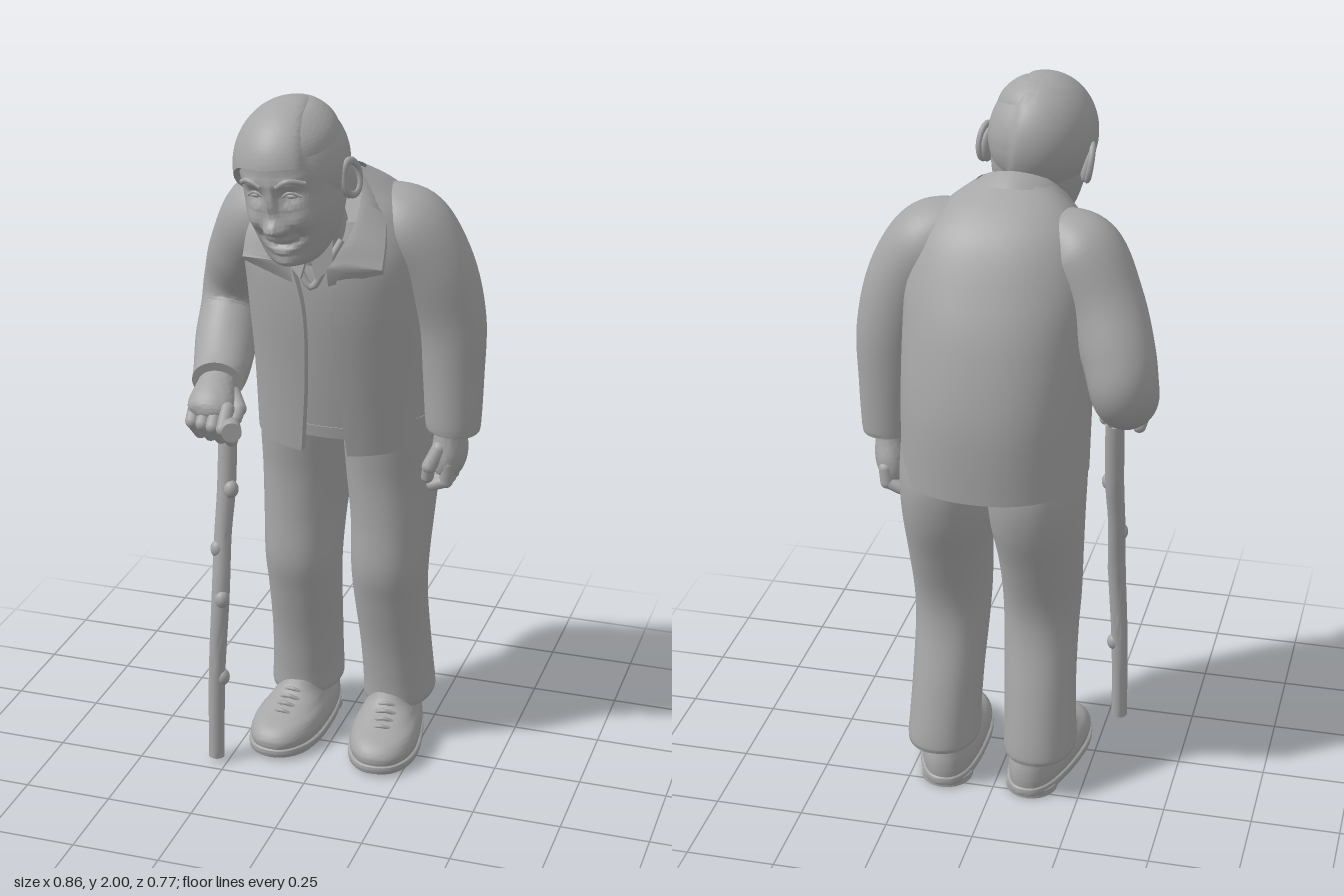
import * as THREE from 'three';
import { toCreasedNormals } from 'three/addons/utils/BufferGeometryUtils.js';

const clay = new THREE.MeshStandardMaterial({ color: 0xa6a6a6, side: THREE.DoubleSide });
clay.name = 'clay grey';
const V = (x, y, z) => new THREE.Vector3(x, y, z);

function add(parent, name, geo) {
  const m = new THREE.Mesh(geo, clay);
  m.name = name;
  parent.add(m);
  return m;
}

// Skin over a stack of rings of points
function skin(rings, { closed = true, caps = true, crease = 0.9 } = {}) {
  const n = rings[0].length, pos = [], idx = [];
  rings.forEach(r => r.forEach(p => pos.push(p.x, p.y, p.z)));
  const m = closed ? n : n - 1;
  for (let i = 0; i < rings.length - 1; i++) for (let j = 0; j < m; j++) {
    const a = i * n + j, b = i * n + (j + 1) % n;
    idx.push(a, b, b + n, a, b + n, a + n);
  }
  if (caps) [0, rings.length - 1].forEach((i, end) => {
    const c = rings[i].reduce((s, p) => s.add(p), V(0, 0, 0)).divideScalar(n);
    const k = pos.length / 3;
    pos.push(c.x, c.y, c.z);
    for (let j = 0; j < n; j++) {
      const a = i * n + j, b = i * n + (j + 1) % n;
      end ? idx.push(a, b, k) : idx.push(b, a, k);
    }
  });
  const g = new THREE.BufferGeometry();
  g.setAttribute('position', new THREE.Float32BufferAttribute(pos, 3));
  g.setIndex(idx);
  return toCreasedNormals(g, crease);
}

// Smooth interpolation of rows of numbers
function smooth(rows, steps) {
  const out = [], last = rows.length - 1;
  for (let s = 0; s <= steps; s++) {
    const t = s / steps * last, i = Math.min(Math.floor(t), last - 1), f = t - i;
    const [a, b, c, d] = [-1, 0, 1, 2].map(k => rows[Math.min(last, Math.max(0, i + k))]);
    out.push(b.map((v, k) => v + 0.5 * f * (c[k] - a[k] + f * (2 * a[k] - 5 * v + 4 * c[k] - d[k]
      + f * (3 * (v - c[k]) + d[k] - a[k])))));
  }
  return out;
}
const pw = (v, n) => Math.sign(v) * Math.pow(Math.abs(v), 2 / n);

// Rows are [x, y, z, rx, rz]; flat keeps the rings level (rows from bottom to top)
function loft(rows, { steps = 30, seg = 40, flat = false, n = 2, warp, crease } = {}) {
  const rs = smooth(rows, steps), c = rs.map(r => V(r[0], r[1], r[2]));
  const rings = rs.map((r, i) => {
    const T = flat ? V(0, 1, 0) : c[Math.min(i + 1, steps)].clone().sub(c[Math.max(i - 1, 0)]).normalize();
    const X = V(1, 0, 0).addScaledVector(T, -T.x).normalize(), Z = X.clone().cross(T);
    return Array.from({ length: seg }, (_, j) => {
      const a = j / seg * Math.PI * 2;
      const p = c[i].clone().addScaledVector(X, r[3] * pw(Math.sin(a), n)).addScaledVector(Z, r[4] * pw(Math.cos(a), n));
      if (warp) warp(p);
      return p;
    });
  });
  return skin(rings, { crease });
}
function rod(parent, name, a, b, r) {
  const d = b.clone().sub(a), m = add(parent, name, new THREE.CapsuleGeometry(r, d.length(), 6, 14));
  m.position.copy(a).addScaledVector(d, 0.5);
  m.quaternion.setFromUnitVectors(V(0, 1, 0), d.normalize());
}
function ball(parent, name, p, s) {
  const m = add(parent, name, new THREE.SphereGeometry(1, 28, 18));
  m.position.set(...p);
  m.scale.set(...s);
  return m;
}
const tube = (pts, r) => new THREE.TubeGeometry(new THREE.CatmullRomCurve3(pts.map(p => V(...p))), 24, r, 8);

function buildHead() {
  const head = new THREE.Group();
  head.name = 'head';
  // Face relief: [x, y, depth, width, height], mirrored
  const bumps = [[.05, .012, -.016, .028, .018], [.05, .05, .009, .04, .014], [.066, -.06, .016, .034, .03],
    [0, 0, .008, .013, .04], [0, -.07, .018, .021, .022], [.022, -.078, .014, .013, .012],
    [.052, -.1, -.008, .012, .022], [0, -.18, .006, .03, .02], [.05, -.018, .004, .025, .008]];
  const bell = (d, s) => Math.exp(-d * d / (s * s));
  const warp = p => {
    if (p.z < .02) return;
    const { x, y } = p, fade = Math.min(1, (p.z - .02) / .05);
    let dz = 0;
    for (const [bx, by, d, w, h] of bumps) for (const s of [1, -1]) dz += d * bell(x - s * bx, w) * bell(y - by, h);
    const m = y + .13 - 5 * x * x, wide = bell(x, .05);
    dz += wide * (-.012 * bell(m, .007) + .008 * bell(m - .015, .01) + .01 * bell(m + .017, .011));
    p.z += dz * fade;
  };
  add(head, 'face', loft([[0, -.207, .065, .03, .03], [0, -.19, .062, .072, .068], [0, -.14, .03, .108, .108],
    [0, -.07, .01, .127, .143], [0, 0, 0, .132, .153], [0, .08, -.005, .134, .154], [0, .14, -.01, .12, .14],
    [0, .185, -.015, .075, .09], [0, .198, -.015, .02, .02]], { steps: 90, seg: 140, flat: true, warp, crease: 1.5 }));

  // Side-parted hair cap with a lowered side past the parting
  const rings = [], N = 80;
  for (let i = 0; i <= 36; i++) rings.push(Array.from({ length: N }, (_, j) => {
    const a = j / N * Math.PI * 2, c = Math.cos(a), side = Math.sin(a) ** 2;
    const tMax = c > 0 ? 1.25 + .82 * Math.pow(side, 2.5) : 2.07 + .4 * Math.pow(-c, 1.3);
    const t = tMax * (1 - Math.max(0, i - 2) / 34 * .999);
    const x = Math.sin(t) * Math.sin(a), z = Math.sin(t) * c;
    const step = 1 / (1 + Math.exp((x - .42 - .25 * z) * 40));
    const k = (i < 2 ? .84 + .07 * i : 1) * (.955 + .075 * step * (.7 + .3 * Math.max(0, z)));
    return V(.15 * k * x, .04 + .168 * k * Math.cos(t), -.01 + .178 * k * z);
  }));
  add(head, 'hair', skin(rings, { caps: false, crease: 1 }));

  for (const s of [1, -1]) {
    ball(head, 'ear', [s * .14, -.015, -.02], [.014, .052, .03]).rotation.y = s * -.4;
    const rim = add(head, 'earRim', new THREE.TorusGeometry(.036, .009, 10, 28));
    rim.position.set(s * .15, -.01, -.024);
    rim.scale.set(.8, 1.3, 1);
    rim.rotation.y = Math.PI / 2 - s * .4;
    ball(head, 'eye', [s * .05, .01, .126], [.019, .008, .012]);
    add(head, 'upperEyelid', tube([[s * .026, .008, .138], [s * .048, .021, .137], [s * .076, .006, .124]], .004));
    add(head, 'eyebrow', tube([[s * .022, .043, .152], [s * .055, .058, .147], [s * .09, .04, .119]], .007));
  }
  head.position.set(-.03, 1.79, .21);
  head.rotation.set(.2, -.1, .11);
  return head;
}

// Jacket rows: [centre x, y, centre z, half width, half depth, front opening angle]
const torso = [[.015, .985, -.137, .255, .247, .22], [.015, 1.2, -.12, .258, .26, .14], [.012, 1.4, -.085, .262, .25, .12],
  [.008, 1.54, -.058, .262, .22, .24], [.005, 1.65, -.048, .225, .17, .45], [0, 1.715, -.035, .165, .118, .75],
  [-.005, 1.765, -.005, .1, .065, .9]];

function buildJacket() {
  const g = new THREE.Group(), M = 64;
  g.name = 'jacket';
  const rings = smooth(torso, 40).map(([x, y, z, rx, rz, gap]) => {
    const at = (j, d) => {
      const a = gap + j / M * (Math.PI * 2 - 2 * gap);
      const drop = .015 * Math.max(0, Math.cos(a)) * Math.max(0, 1.1 - y) / .12;
      return V(x + (rx - d) * pw(Math.sin(a), 2.25), y - drop, z + (rz - d) * pw(Math.cos(a), 2.25));
    };
    const js = Array.from({ length: M + 1 }, (_, j) => j);
    return [...js.map(j => at(j, 0)), ...js.reverse().map(j => at(j, .02))];
  });
  // Hem closes the thickness of the cloth
  const L = rings[0].length;
  rings.unshift(rings[0].map((p, j) => rings[0][j <= M ? L - 1 - j : j].clone()));
  add(g, 'jacketBody', skin(rings, { caps: false }));

  // Folded collar, mirrored about its middle
  const curve = half => {
    const left = half.map(p => V(...p)), right = left.slice(1).reverse().map(p => V(-.01 - p.x, p.y, p.z));
    return new THREE.CatmullRomCurve3([...right, ...left]).getPoints(48);
  };
  const inner = curve([[-.005, 1.795, -.012], [.085, 1.765, .025], [.112, 1.69, .1], [.09, 1.6, .155], [.045, 1.53, .178]]);
  const outer = curve([[-.005, 1.75, -.09], [.1, 1.727, -.05], [.168, 1.672, .05], [.188, 1.6, .115], [.19, 1.535, .15]]);
  const fold = inner.map((p, i) => p.clone().lerp(outer[i], .3).add(V(0, .01, .004)));
  const low = inner.map(p => p.clone().add(V(0, -.05, -.015)));
  const under = outer.map(p => p.clone().add(V(0, -.015, -.015)));
  const cols = fold.map((_, i) => [low[i], inner[i], fold[i], outer[i], under[i]]);
  add(g, 'collar', skin(cols, { caps: true, crease: .8 }));

  // Sleeves
  add(g, 'leftSleeve', loft([[.12, 1.66, -.05, .07, .08], [.2, 1.6, -.05, .115, .125], [.275, 1.49, -.055, .112, .115],
    [.32, 1.34, -.067, .1, .097], [.333, 1.18, -.066, .086, .086], [.337, 1.05, -.062, .078, .08],
    [.337, 1.025, -.062, .074, .076]], { steps: 40 }));
  add(g, 'rightSleeve', loft([[-.12, 1.66, -.05, .07, .08], [-.2, 1.6, -.065, .115, .125], [-.275, 1.48, -.11, .108, .11],
    [-.325, 1.365, -.165, .1, .095], [-.342, 1.275, -.165, .093, .105], [-.335, 1.205, -.08, .088, .092],
    [-.315, 1.155, .015, .08, .076], [-.305, 1.135, .08, .072, .066]], { steps: 50 }));
  return g;
}

function buildLeg(s) {
  const g = new THREE.Group();
  g.name = s > 0 ? 'leftLeg' : 'rightLeg';
  add(g, 'trouserLeg', loft([[.142, .15, -.17, .08, .1], [.142, .122, -.17, .096, .125], [.142, .135, -.17, .102, .131],
    [.14, .2, -.163, .1, .127], [.135, .32, -.142, .1, .12], [.13, .47, -.107, .104, .118], [.13, .58, -.095, .109, .13],
    [.13, .72, -.118, .116, .149], [.125, .85, -.14, .128, .174], [.123, .96, -.142, .134, .19],
    [.12, 1.06, -.13, .134, .19]].map(r => [s * r[0], ...r.slice(1)]), { steps: 60, flat: true, n: 2.2 }));
  // Shoe rows: [height, toe z, heel z, half width]
  const shoe = new THREE.Group();
  shoe.name = 'shoe';
  const shape = rows => rows.map(([y, f, b, w]) => [0, y, (f + b) / 2, w, (f - b) / 2]);
  const waist = p => { p.x *= 1 + .12 * Math.sin((p.z + .07) * 8); };
  const opt = { flat: true, n: 2.4, warp: waist };
  add(shoe, 'upper', loft(shape([[.025, .15, -.285, .09], [.055, .153, -.287, .096], [.085, .125, -.285, .09],
    [.108, .06, -.28, .078], [.135, -.01, -.275, .07], [.17, -.04, -.27, .064]]), opt));
  add(shoe, 'sole', loft(shape([[.008, .15, -.285, .092], [.012, .157, -.292, .099], [.03, .158, -.292, .1],
    [.034, .155, -.29, .097]]), { ...opt, steps: 9 }));
  add(shoe, 'heel', new THREE.CylinderGeometry(.074, .074, .02, 28).scale(1, 1, 1.05).translate(0, .01, -.208));
  add(shoe, 'forefoot', new THREE.CylinderGeometry(.088, .088, .012, 28).scale(1, 1, 1.15).translate(0, .006, .035));
  for (let i = 0; i < 4; i++) {
    const y = .107 + i * .011, z = .058 - i * .026;
    add(shoe, 'lace', tube([[-.04, y - .012, z - .012], [0, y + .006, z], [.04, y - .012, z - .012]], .006));
  }
  shoe.position.set(s * .147, 0, 0);
  shoe.rotation.y = s * .1;
  g.add(shoe);
  g.position.x = .02;
  return g;
}

function buildHands() {
  const g = new THREE.Group();
  g.name = 'hands';
  // Relaxed left hand
  add(g, 'leftPalm', loft([[.335, 1.07, -.06, .045, .05], [.332, 1.01, -.06, .046, .054], [.328, .95, -.065, .05, .068],
    [.32, .905, -.072, .042, .064], [.315, .89, -.072, .025, .045]]));
  for (let i = 0; i < 4; i++) {
    const z = -.018 - i * .035, lift = i === 3 ? .014 : 0;
    rod(g, 'leftFinger', V(.335, .93, z), V(.33, .877 + lift, z - .004), .02);
    rod(g, 'leftFingertip', V(.33, .877 + lift, z - .004), V(.292, .862 + lift, z - .004), .018);
  }
  rod(g, 'leftThumb', V(.31, .975, -.015), V(.287, .925, .0), .021);
  rod(g, 'leftThumbTip', V(.287, .925, 0), V(.28, .89, -.008), .018);
  // Right hand gripping the cane
  add(g, 'rightPalm', loft([[-.307, 1.137, .04, .052, .045], [-.305, 1.125, .09, .055, .045], [-.3, 1.098, .14, .066, .045],
    [-.297, 1.08, .17, .058, .036], [-.297, 1.07, .185, .03, .02]]));
  for (let i = 0; i < 4; i++) {
    const x = -.345 + i * .034, z = .14 + i * .01;
    rod(g, 'rightFinger', V(x, 1.095, z), V(x, 1.05, z + .036), .02);
    rod(g, 'rightFingertip', V(x, 1.05, z + .036), V(x + .012, 1.008, z + .005), .019);
  }
  rod(g, 'rightThumb', V(-.255, 1.11, .09), V(-.222, 1.085, .135), .021);
  rod(g, 'rightThumbTip', V(-.222, 1.085, .135), V(-.22, 1.07, .17), .018);
  return g;
}

function buildCane() {
  const g = new THREE.Group();
  g.name = 'cane';
  add(g, 'shaft', loft([[-.285, .012, .196, .023, .023], [-.282, .27, .19, .024, .024], [-.272, .52, .175, .026, .026],
    [-.275, .7, .138, .025, .025], [-.272, .84, .11, .027, .027], [-.275, 1.04, .08, .027, .027]], { seg: 18 }));
  const a = V(-.285, 1.05, .065), b = V(-.208, 1.055, .235), d = b.clone().sub(a);
  const bar = add(g, 'handle', new THREE.CylinderGeometry(.028, .028, d.length(), 24));
  bar.position.copy(a).addScaledVector(d, .5);
  bar.quaternion.setFromUnitVectors(V(0, 1, 0), d.normalize());
  for (const [x, y, z] of [[-.253, .835, .125], [-.262, .52, .19], [-.266, .27, .188], [-.285, .66, .155]])
    ball(g, 'knot', [x, y, z], [.021, .026, .022]);
  return g;
}

export function createModel() {
  const model = new THREE.Group();
  model.name = 'oldManWithCane';
  model.add(buildHead(), buildJacket(), buildHands(), buildCane(), buildLeg(1), buildLeg(-1));
  // Sweater under the jacket, with neck and shirt collar
  add(model, 'sweater', loft(torso.slice(0, 5).map(([x, y, z, rx, rz]) =>
    [x, Math.max(1.015, y - .01), z, rx - .028, rz - .026]), { flat: true, n: 2.25 }));
  add(model, 'sweaterHem', loft([[.015, 1.01, -.137, .228, .223], [.015, 1.045, -.135, .231, .227]],
    { flat: true, n: 2.25, steps: 4 }));
  add(model, 'neckband', tube([[-.075, 1.6, .125], [-.04, 1.53, .16], [0, 1.475, .168], [.035, 1.53, .16], [.07, 1.6, .125]], .01));
  add(model, 'neck', loft([[-.005, 1.48, .03, .09, .09], [-.01, 1.6, .075, .085, .085], [-.02, 1.72, .14, .085, .09]]));
  for (const s of [1, -1]) {
    const flap = new THREE.Shape([[0, 0], [.02, -.07], [.062, -.035], [.06, .06]].map(p => new THREE.Vector2(s * p[0], p[1])));
    const m = add(model, 'shirtCollar', new THREE.ExtrudeGeometry(flap, { depth: .009, bevelEnabled: false }));
    m.position.set(-.004, 1.57, .172);
    m.rotation.set(-.15, s * .3, 0);
  }
  return model;
}
